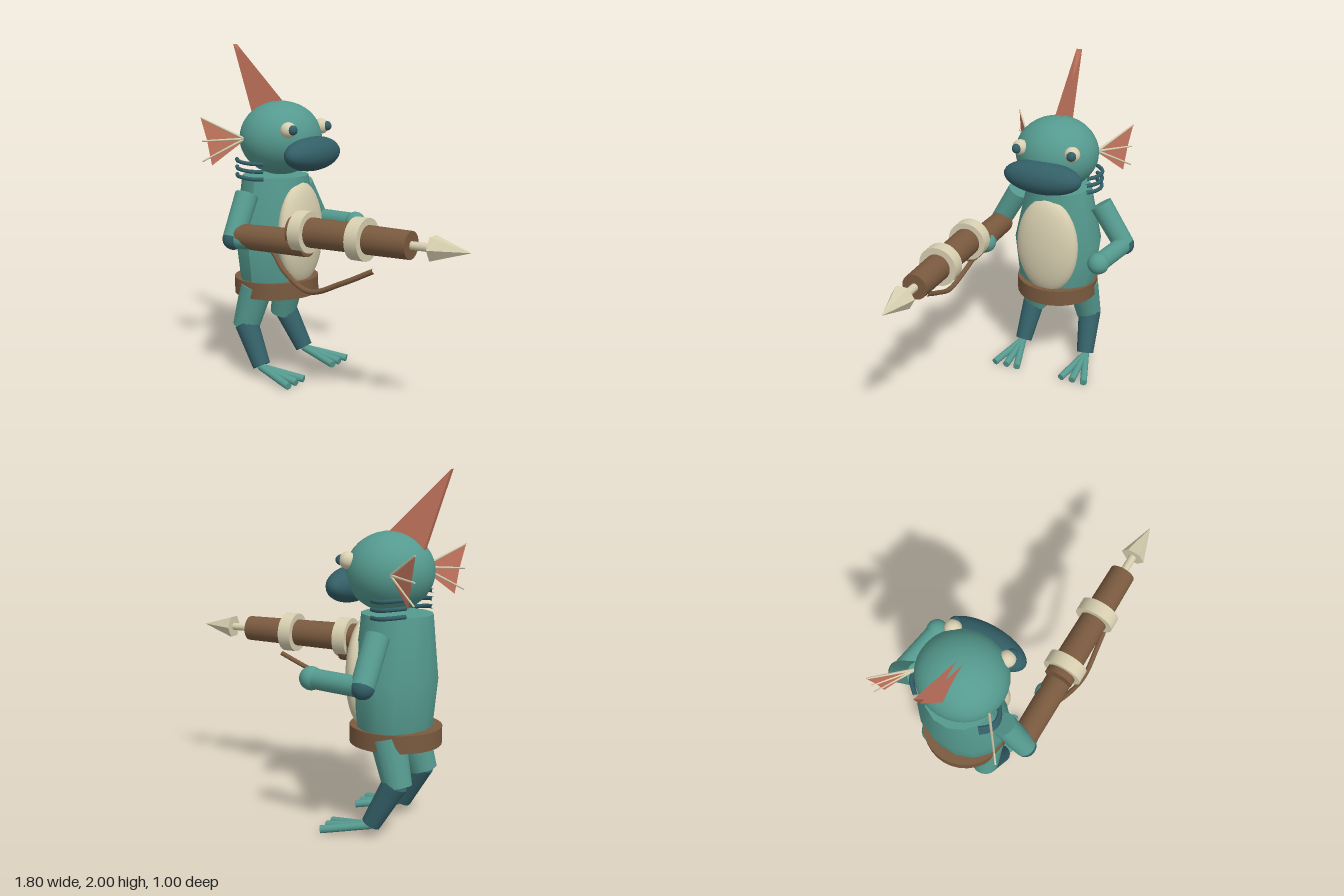
import * as THREE from 'three';

const mat = (name, color, side = THREE.FrontSide) => {
  const m = new THREE.MeshStandardMaterial({ color, side });
  m.name = name;
  return m;
};

export function createModel() {
  const skin = mat('teal skin', 0x559a8f);
  const dark = mat('dark teal', 0x335f67);
  const wood = mat('brown leather and wood', 0x7a5a3f);
  const bone = mat('cream', 0xd8cfb0);
  const finMat = mat('coral fin', 0xc87860, THREE.DoubleSide);
  const model = new THREE.Group();
  model.name = 'fishFighter';
  const V = (x, y, z) => new THREE.Vector3(x, y, z);

  const add = (name, geo, material, pos = [0, 0, 0]) => {
    const m = new THREE.Mesh(geo, material);
    m.name = name;
    m.position.set(...pos);
    model.add(m);
    return m;
  };
  const ball = (name, material, pos, rx, ry = rx, rz = rx) =>
    add(name, new THREE.SphereGeometry(1, 32, 20), material, pos).scale.set(rx, ry, rz);
  // Cylinder from point a (radius ra) to point b (radius rb)
  const rod = (name, material, a, b, ra, rb = ra, sides = 16) => {
    const p = V(...a), d = V(...b).sub(p);
    let geo = new THREE.CylinderGeometry(rb, ra, d.length(), sides);
    if (sides < 8) {
      geo = geo.toNonIndexed();
      geo.computeVertexNormals();
    }
    const m = add(name, geo, material);
    m.position.copy(p).addScaledVector(d, 0.5);
    m.quaternion.setFromUnitVectors(V(0, 1, 0), d.normalize());
    return m;
  };
  const tube = (name, material, pts, r) =>
    add(name, new THREE.TubeGeometry(new THREE.CatmullRomCurve3(pts.map(p => V(...p))), 32, r, 8), material);
  // Thin surface from corner points and triangle indices
  const sheet = (name, pts, index) => {
    const g = new THREE.BufferGeometry();
    g.setAttribute('position', new THREE.Float32BufferAttribute(pts.flat(), 3));
    g.setIndex(index);
    const flat = g.toNonIndexed();
    flat.computeVertexNormals();
    return add(name, flat, finMat);
  };

  // Torso: stacked elliptical rings, wider sideways at the waist
  const torsoGeo = new THREE.CylinderGeometry(1, 1, 1, 14, 3);
  const rings = [[0.48, 0.175, 0.195], [0.6, 0.205, 0.25], [0.87, 0.23, 0.28], [1.225, 0.2, 0.2]];
  const tp = torsoGeo.attributes.position;
  for (let i = 0; i < tp.count; i++) {
    const [y, rx, rz] = rings[Math.round((tp.getY(i) + 0.5) * 3)];
    tp.setXYZ(i, tp.getX(i) * rx, y, tp.getZ(i) * rz);
  }
  torsoGeo.computeVertexNormals();
  add('torso', torsoGeo, skin, [-0.612, 0, 0]);
  ball('belly', bone, [-0.43, 0.88, 0], 0.085, 0.313, 0.2);
  add('belt', new THREE.CylinderGeometry(0.257, 0.257, 0.1, 32), wood, [-0.616, 0.55, 0]);

  // Head and mouth
  ball('head', skin, [-0.567, 1.45, 0], 0.243, 0.22, 0.255);
  ball('mouth', dark, [-0.335, 1.368, 0], 0.105, 0.102, 0.245);

  // Crest: two sides and a rear strip, open along the front
  const crest = [];
  for (const z of [0.018, -0.018]) crest.push([-0.905, 2, z], [-0.735, 1.48, z], [-0.53, 1.635, z]);
  sheet('crest', crest, [0, 1, 2, 3, 5, 4, 0, 3, 4, 0, 4, 1]);

  for (const s of [1, -1]) {
    // Eyes
    ball('eye', bone, [-0.388, 1.515, s * 0.165], 0.047);
    ball('pupil', dark, [-0.352, 1.517, s * 0.173], 0.029);

    // Ear fins with three ribs
    const ear = (r, y) => [-0.68 - r * 0.78, y, s * (0.235 + r * 0.62)];
    sheet('earFin', [ear(-0.03, 1.455), ear(0.235, 1.585), ear(0.2, 1.45), ear(0.175, 1.3)],
      [0, 1, 2, 0, 2, 3]);
    for (const y of [1.58, 1.445, 1.325]) {
      rod('earRib', bone, ear(-0.02, 1.455), ear(0.23, y), 0.008, 0.005, 8);
    }

    // Gills
    for (let i = 0; i < 3; i++) {
      const y = 1.32 - i * 0.045;
      tube('gill', dark, [[-0.745, y + 0.01, s * 0.2], [-0.7, y + 0.006, s * 0.245],
        [-0.65, y, s * 0.26], [-0.6, y - 0.006, s * 0.245], [-0.55, y - 0.01, s * 0.2]], 0.012);
    }

    // Legs and toes
    rod('thigh', skin, [-0.64, 0.56, s * 0.165], [-0.713, 0.3, s * 0.188], 0.1, 0.08);
    rod('shin', dark, [-0.7, 0.32, s * 0.198], [-0.573, 0.08, s * 0.22], 0.072, 0.054);
    for (const dz of [-0.075, 0, 0.08]) {
      rod('toe', skin, [-0.575, 0.072, s * 0.225], [-0.305, 0.026, s * (0.23 + dz)], 0.022);
    }

    // Arms
    const elbow = [-0.61, 0.895, s > 0 ? 0.41 : -0.437];
    const hand = [-0.285, 0.9, s > 0 ? 0.355 : -0.385];
    rod('upperArm', skin, [-0.615, 1.135, s * 0.275], elbow, 0.07, 0.065);
    ball('elbow', dark, elbow, 0.064);
    rod('forearm', skin, elbow, hand, 0.056);
    ball('hand', skin, hand, 0.065);
  }

  // Harpoon gun
  const gy = 0.985, gz = 0.382;
  rod('stock', wood, [-0.59, 0.91, gz], [-0.1, 0.92, gz], 0.073, 0.077);
  rod('barrel', wood, [-0.2, gy, gz], [0.555, gy, gz], 0.086, 0.076, 24);
  for (const x of [-0.16, 0.21]) {
    rod('barrelBand', bone, [x, gy, gz], [x + 0.08, gy, gz], 0.118, 0.118, 32);
  }
  rod('harpoonShaft', bone, [0.5, gy, gz], [0.69, gy, gz], 0.023);
  rod('harpoonTip', bone, [0.68, gy, gz], [0.9, gy, gz], 0.073, 0, 6);
  tube('strap', wood, [[-0.33, 0.85, 0.4], [-0.22, 0.755, 0.44], [-0.03, 0.675, 0.472],
    [0.17, 0.745, 0.455], [0.355, 0.832, 0.43]], 0.015);

  return model;
}
